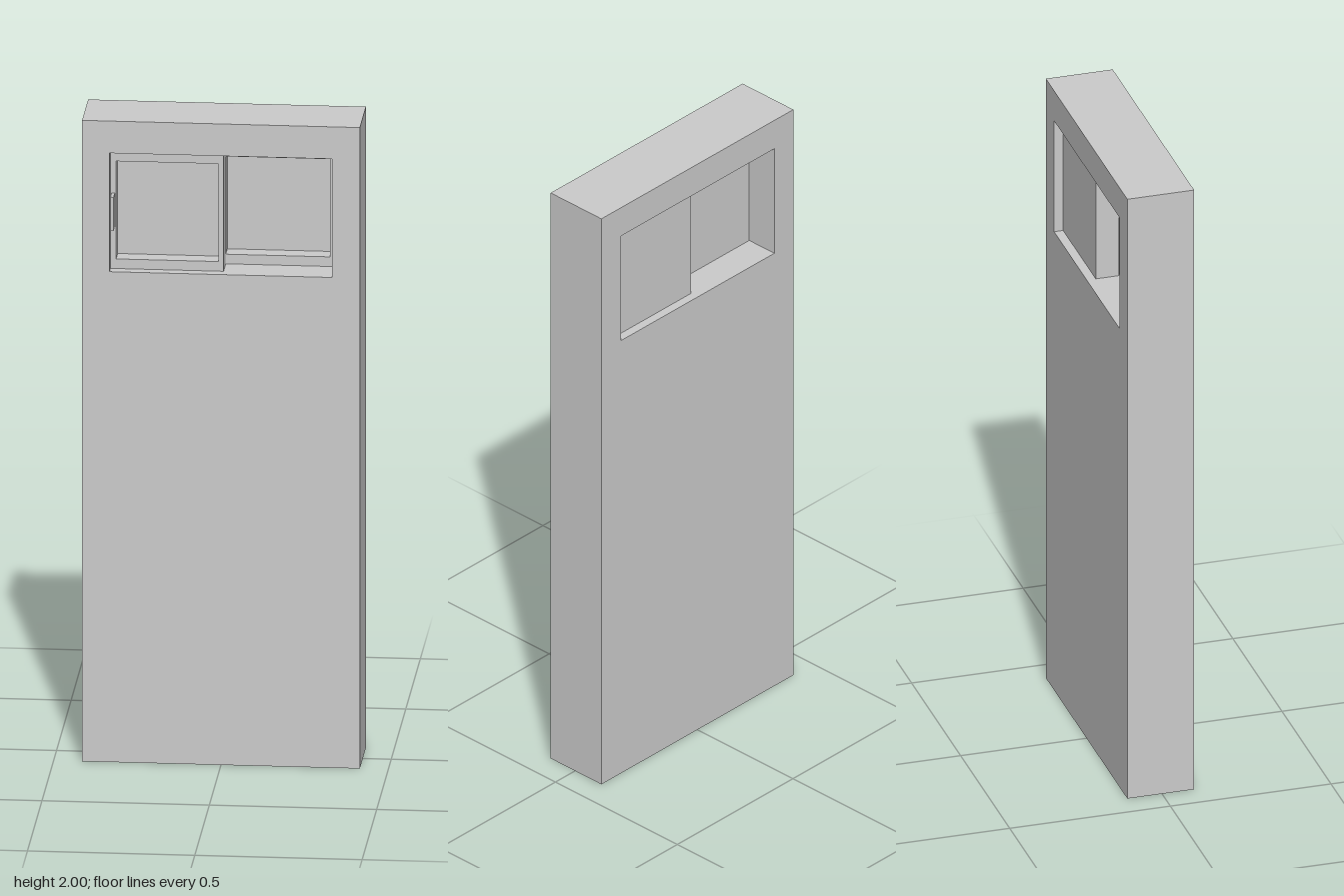
import * as THREE from 'three';

const mat = new THREE.MeshStandardMaterial({ color: 0xcccccc, flatShading: true });

// Rectangular path between two corners
function rect(Type, x0, y0, x1, y1) {
  const p = new Type();
  p.moveTo(x0, y0);
  p.lineTo(x1, y0);
  p.lineTo(x1, y1);
  p.lineTo(x0, y1);
  p.closePath();
  return p;
}

// Flat plate with a rectangular hole, extruded from z0 to z1
function framePlate(name, outer, inner, z0, z1) {
  const shape = rect(THREE.Shape, ...outer);
  shape.holes.push(rect(THREE.Path, ...inner));
  const geo = new THREE.ExtrudeGeometry(shape, { depth: z1 - z0, bevelEnabled: false });
  geo.translate(0, 0, z0);
  const mesh = new THREE.Mesh(geo, mat);
  mesh.name = name;
  return mesh;
}

function box(name, x0, y0, z0, x1, y1, z1) {
  const mesh = new THREE.Mesh(new THREE.BoxGeometry(x1 - x0, y1 - y0, z1 - z0), mat);
  mesh.position.set((x0 + x1) / 2, (y0 + y1) / 2, (z0 + z1) / 2);
  mesh.name = name;
  return mesh;
}

// Sliding sash: deep frame with a pane flush with its back
function sash(name, x0, x1, px0, px1, zBack) {
  const g = new THREE.Group();
  g.name = name;
  const depth = 0.072;
  g.add(framePlate('sashFrame', [x0, 1.53, x1, 1.9], [px0, 1.56, px1, 1.865], zBack, zBack + depth));
  g.add(box('pane', px0, 1.56, zBack, px1, 1.865, zBack + 0.018));
  return g;
}

export function createModel() {
  const model = new THREE.Group();
  model.name = 'wallWithSlidingWindow';

  // Wall slab with the window opening
  model.add(framePlate('wall', [-0.415, 0, 0.415, 2], [-0.333, 1.53, 0.331, 1.9], -0.108, 0.1));

  // Two sashes on separate tracks, front one on the right
  const front = sash('frontSash', -0.333, 0.005, -0.316, -0.01, -0.005);
  const rear = sash('rearSash', -0.002, 0.331, 0.005, 0.316, -0.08);

  // Slim pull handle on the outer stile
  front.add(box('handle', -0.33, 1.66, 0.066, -0.32, 1.765, 0.108));

  model.add(front, rear);
  return model;
}
